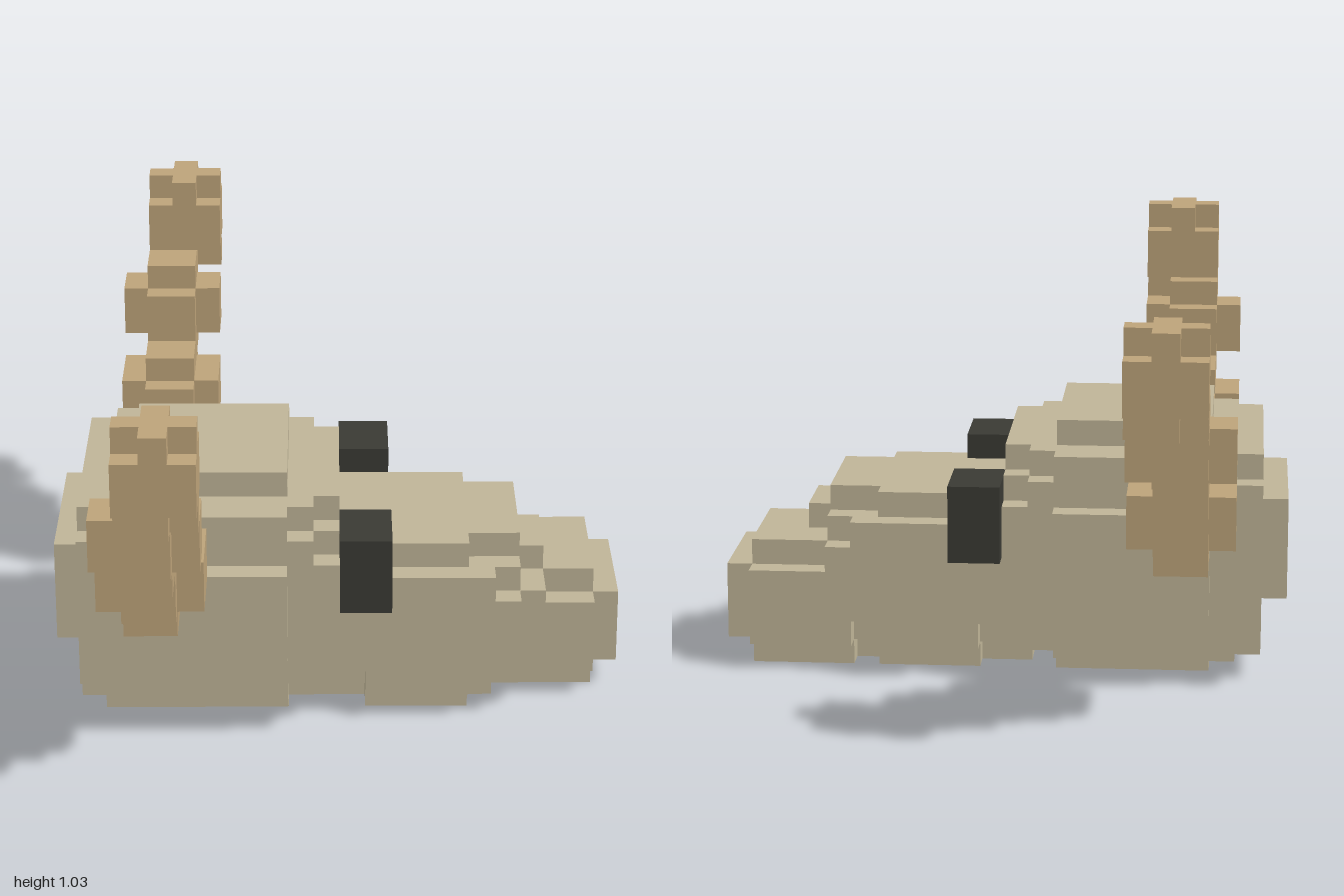
import * as THREE from 'three';
import { mergeGeometries } from 'three/addons/utils/BufferGeometryUtils.js';

// Everything sits on a cube grid: 22 x 16 x 31 cells
const CELL = 2 / 31;

const colour = (name, hex) => {
  const m = new THREE.MeshStandardMaterial({ color: hex });
  m.name = name;
  return m;
};

// One part from blocks given as [x0, x1, y0, y1, z0, z1] in cells
function part(name, material, blocks) {
  const boxes = blocks.map(([x0, x1, y0, y1, z0, z1]) =>
    new THREE.BoxGeometry((x1 - x0) * CELL, (y1 - y0) * CELL, (z1 - z0) * CELL).translate(
      ((x0 + x1) / 2 - 11) * CELL, ((y0 + y1) / 2) * CELL, ((z0 + z1) / 2 - 15.5) * CELL));
  const mesh = new THREE.Mesh(mergeGeometries(boxes), material);
  mesh.name = name;
  return mesh;
}

// Block with its eight corner cells removed
const notched = ([x0, x1, y0, y1, z0, z1]) => [
  [x0 + 1, x1 - 1, y0, y1, z0, z1],
  [x0, x1, y0 + 1, y1 - 1, z0, z1],
  [x0, x1, y0, y1, z0 + 1, z1 - 1],
];

// Core block with a one-cell plate on each of its six faces
const knob = (x0, x1, y0, y1, z0, z1) => [
  [x0 - 1, x1 + 1, y0, y1, z0, z1],
  [x0, x1, y0 - 1, y1 + 1, z0, z1],
  [x0, x1, y0, y1, z0 - 1, z1 + 1],
];

export function createModel() {
  const model = new THREE.Group();
  model.name = 'head';
  const hide = colour('hide', 0xc0b598);
  const horn = colour('horn', 0xbea47a);
  const dark = colour('eye', 0x3a3a34);

  // Rounded cranium with a raised plate on each side
  model.add(part('cranium', hide, [
    [2, 9, 1, 9, 11, 22],
    [1, 11, 3, 7, 11, 22],
    [1, 11, 1, 9, 13, 20],
    [1, 10, 2, 8, 11, 22],
    [1, 10, 1, 9, 12, 21],
    [1, 11, 2, 8, 12, 21],
    [0, 6, 3, 7, 13, 20],
    [3, 9, 0, 10, 13, 20],
    [3, 9, 3, 7, 10, 23],
  ]));

  // Muzzle, stepped down at its edges
  model.add(part('muzzle', hide, [
    [10, 17, 0, 7, 14, 19],
    [12, 16, 0, 7, 13, 20],
    [10, 16, 6, 7, 13, 20],
    [10, 18, 1, 7, 14, 19],
    [10, 18, 1, 6, 13, 20],
    [10, 17, 2, 6, 12, 21],
    [12, 16, 1, 6, 12, 21],
    [17, 18, 2, 5, 12, 21],
    [18, 19, 2, 6, 15, 18],
    [18, 19, 2, 5, 13, 20],
  ]));

  // Nose at the tip of the muzzle
  model.add(part('nose', hide, [
    [17, 21, 1, 4, 12, 19],
    [17, 21, 0, 5, 13, 18],
    [20, 22, 1, 4, 13, 18],
  ]));

  // Eyes
  model.add(part('leftEye', dark, [[11, 13, 5, 8, 19, 22]]));
  model.add(part('rightEye', dark, [[11, 13, 5, 8, 10, 13]]));

  // Horns: two knobs and a notched tip, rising outwards
  for (const [name, base, middle, tip] of [['leftHorn', 23, 27, 28], ['rightHorn', 5, 3, 0]]) {
    const group = new THREE.Group();
    group.name = name;
    group.add(
      part('hornBase', horn, knob(3, 5, 7, 9, base, base + 3)),
      part('hornMiddle', horn, knob(3, 5, 10, 12, middle, middle + 2)),
      part('hornTip', horn, notched([3, 6, 12, 16, tip, tip + 3])));
    model.add(group);
  }
  return model;
}
